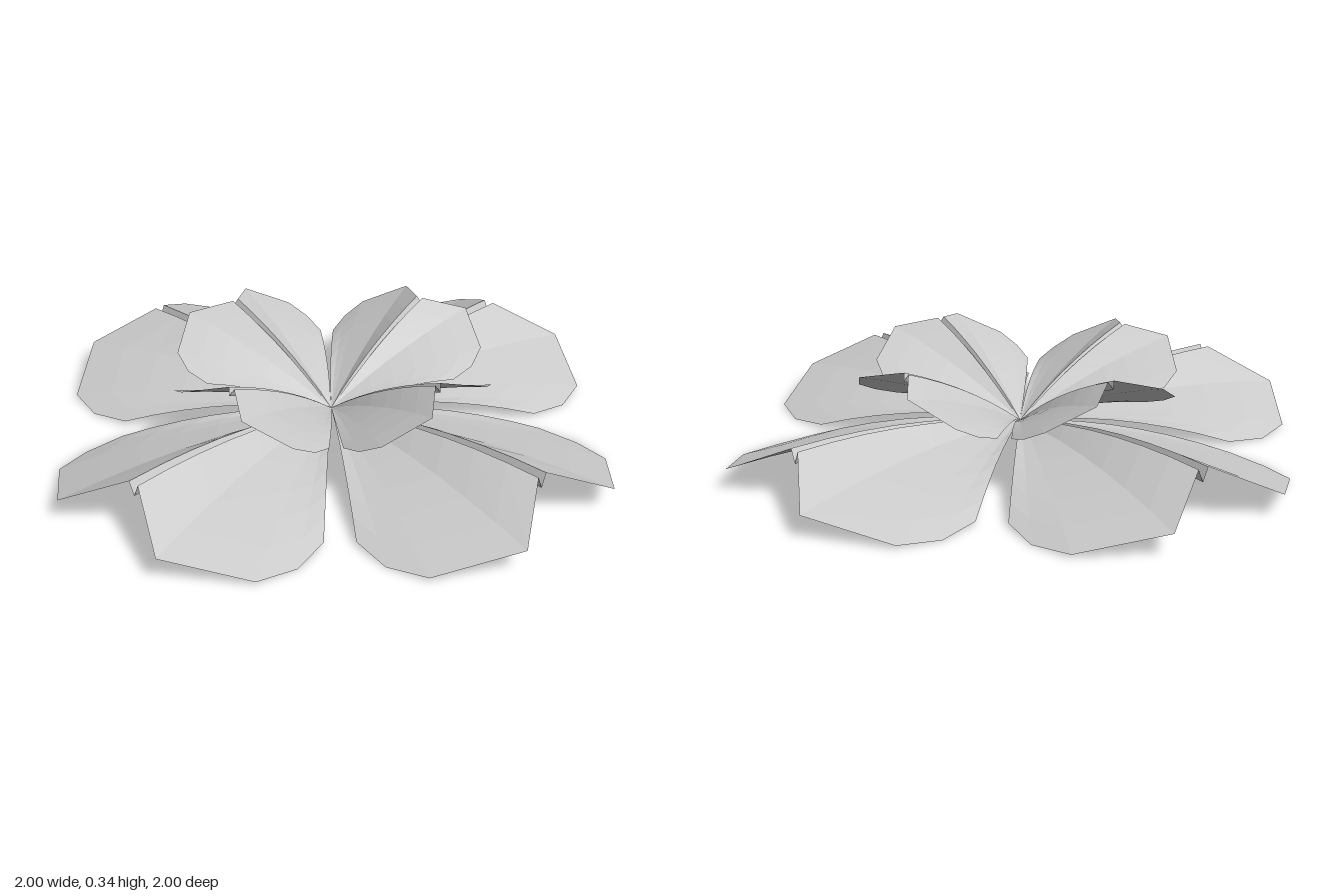
import * as THREE from 'three';

const STEPS = 7;
const CENTRE_Y = 0.08;

// Right half of the leaf rim, from midrib groove to outer edge: [width, length, height]
const HALF_RIM = [
  [0.02, 0.88, 0.1], [0.23, 1, -0.005], [0.46, 0.82, -0.07],
  [0.495, 0.68, -0.08], [0.47, 0.54, -0.067],
];

// Heart-shaped leaf: arched rays run from the stem point to each rim point
function leafGeometry() {
  const rim = [
    ...HALF_RIM.map(([w, r, y]) => [-w, r, y]).reverse(),
    [0, 0.88, 0.1],
    ...HALF_RIM,
  ];
  const positions = [];
  const index = [];
  for (let i = 0; i <= STEPS; i++) {
    const t = i / STEPS;
    const taper = Math.pow(t, 0.6);
    for (const [w, r, y] of rim) {
      const arch = 0.14 * t * (1 - t);
      const groove = w === 0 ? 0.045 * taper : 0; // folded midrib
      positions.push(w * (Math.abs(w) < 0.05 ? taper : t), y * t + arch - groove, r * t);
    }
  }
  const n = rim.length;
  for (let i = 0; i < STEPS; i++) {
    for (let j = 0; j < n - 1; j++) {
      const a = i * n + j;
      const b = a + n;
      if (i > 0) index.push(a, b, a + 1);
      index.push(a + 1, b, b + 1);
    }
  }
  const geometry = new THREE.BufferGeometry();
  geometry.setAttribute('position', new THREE.Float32BufferAttribute(positions, 3));
  geometry.setIndex(index);
  geometry.computeVertexNormals();
  return geometry;
}

export function createModel() {
  const model = new THREE.Group();
  model.name = 'leafCluster';
  const material = new THREE.MeshStandardMaterial({
    color: 0xcccccc, flatShading: true, side: THREE.DoubleSide,
  });
  const geometry = leafGeometry();

  // Four leaves around the centre, scaled and tilted upward
  function addRing(name, scale, tilt) {
    const ring = new THREE.Group();
    ring.name = name + 's';
    ring.position.y = CENTRE_Y;
    for (let k = 0; k < 4; k++) {
      const leaf = new THREE.Mesh(geometry, material);
      leaf.name = name;
      leaf.scale.setScalar(scale);
      leaf.rotation.set(-tilt, k * Math.PI / 2, 0, 'YXZ');
      ring.add(leaf);
    }
    model.add(ring);
  }

  addRing('outerLeaf', 1, 0);
  addRing('innerLeaf', 0.6, THREE.MathUtils.degToRad(23));
  return model;
}
